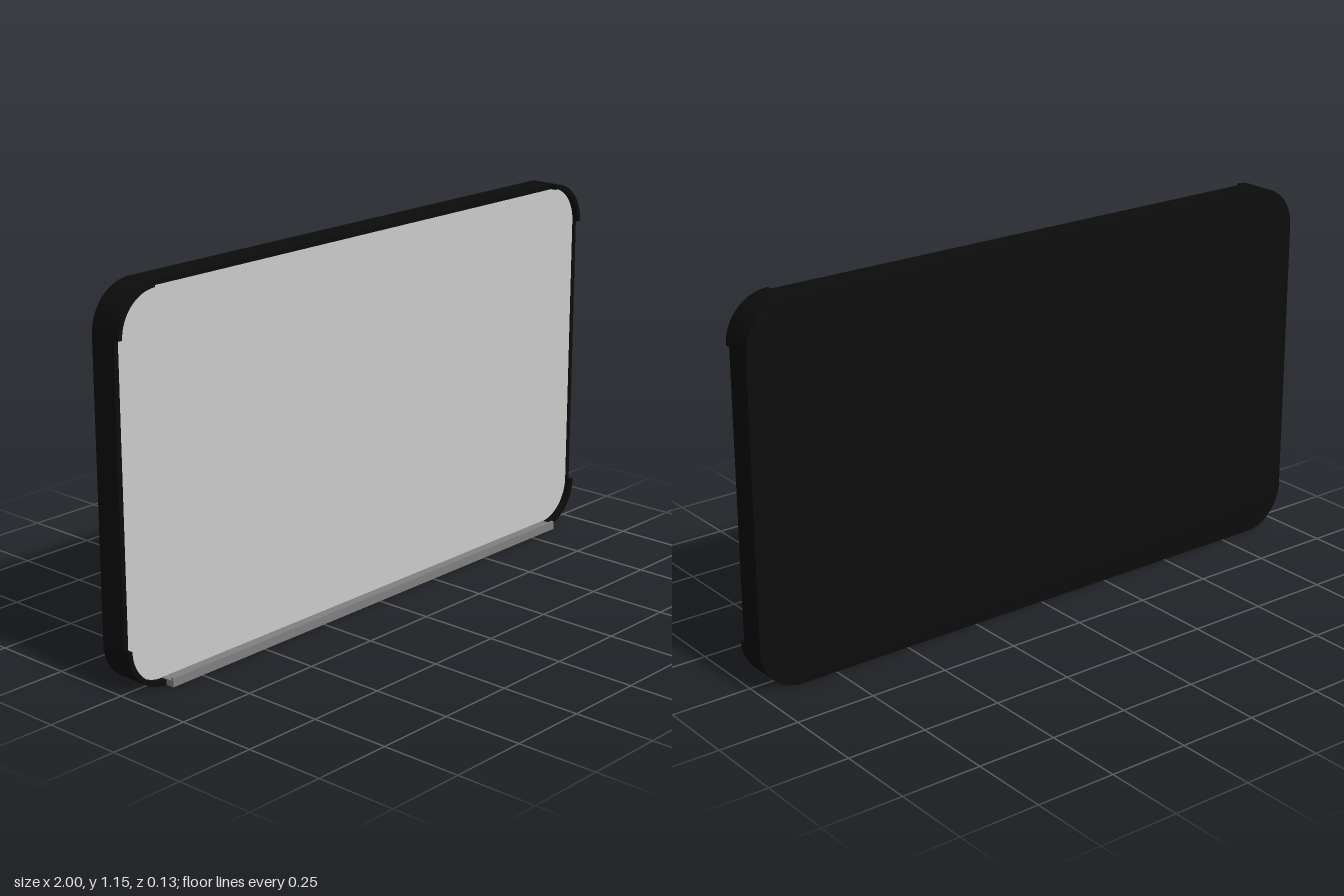
import * as THREE from 'three';

const W = 2, H = 1.155, R = 0.137, RIM = 0.015;
const BACK = -0.065, FRONT = 0.02, CORNER_FRONT = 0.037, TRAY_FRONT = 0.065;

// Rounded rectangle centred on the origin, inset evenly on all sides
function roundedRect(inset, PathType = THREE.Shape) {
  const x = W / 2 - inset, y = H / 2 - inset, r = R - inset;
  const p = new PathType();
  p.absarc(x - r, y - r, r, 0, Math.PI / 2);
  p.absarc(-x + r, y - r, r, Math.PI / 2, Math.PI);
  p.absarc(-x + r, -y + r, r, Math.PI, Math.PI * 1.5);
  p.absarc(x - r, -y + r, r, Math.PI * 1.5, Math.PI * 2);
  p.closePath();
  return p;
}

// Extrude a shape between two z positions
function slab(shape, z0, z1) {
  const geo = new THREE.ExtrudeGeometry(shape, { depth: z1 - z0, bevelEnabled: false, curveSegments: 16 });
  return geo.translate(0, 0, z0);
}

export function createModel() {
  const model = new THREE.Group();
  model.name = 'whiteboard';
  const black = new THREE.MeshStandardMaterial({ color: 0x0c0c0c });
  const surface = new THREE.MeshStandardMaterial({ color: 0xcccccc });
  const metal = new THREE.MeshStandardMaterial({ color: 0x808080 });

  function add(name, geo, mat, x = 0, y = H / 2, z = 0) {
    const mesh = new THREE.Mesh(geo, mat);
    mesh.name = name;
    mesh.position.set(x, y, z);
    model.add(mesh);
    return mesh;
  }

  // Thin frame running around the board
  const rim = roundedRect(0);
  rim.holes.push(roundedRect(RIM, THREE.Path));
  add('frame', slab(rim, BACK, FRONT), black);

  // Back panel and writing surface fill the frame
  add('backPanel', slab(roundedRect(RIM), BACK, BACK + 0.01), black);
  add('writingSurface', slab(roundedRect(RIM), BACK + 0.01, FRONT - 0.003), surface);

  // Raised quarter-round corner guards
  const arc = new THREE.Shape();
  arc.absarc(0, 0, R, 0, Math.PI / 2);
  arc.absarc(0, 0, R - RIM, Math.PI / 2, 0, true);
  arc.closePath();
  const cornerGeo = slab(arc, FRONT, CORNER_FRONT);
  [[1, 1], [-1, 1], [-1, -1], [1, -1]].forEach(([sx, sy], i) => {
    const corner = add('cornerGuard', cornerGeo, black, sx * (W / 2 - R), H / 2 + sy * (H / 2 - R));
    corner.rotation.z = i * Math.PI / 2;
  });

  // Pen tray along the bottom: an L-shaped section swept along x
  const section = new THREE.Shape([
    [FRONT, 0], [TRAY_FRONT, 0], [TRAY_FRONT, 0.027], [0.057, 0.027], [0.057, 0.018], [FRONT, 0.018],
  ].map(([z, y]) => new THREE.Vector2(-z, y)));
  const length = 2 * (W / 2 - R);
  const trayGeo = new THREE.ExtrudeGeometry(section, { depth: length, bevelEnabled: false });
  trayGeo.translate(0, 0, -length / 2).rotateY(Math.PI / 2);
  add('penTray', trayGeo, metal, 0, 0);

  return model;
}
